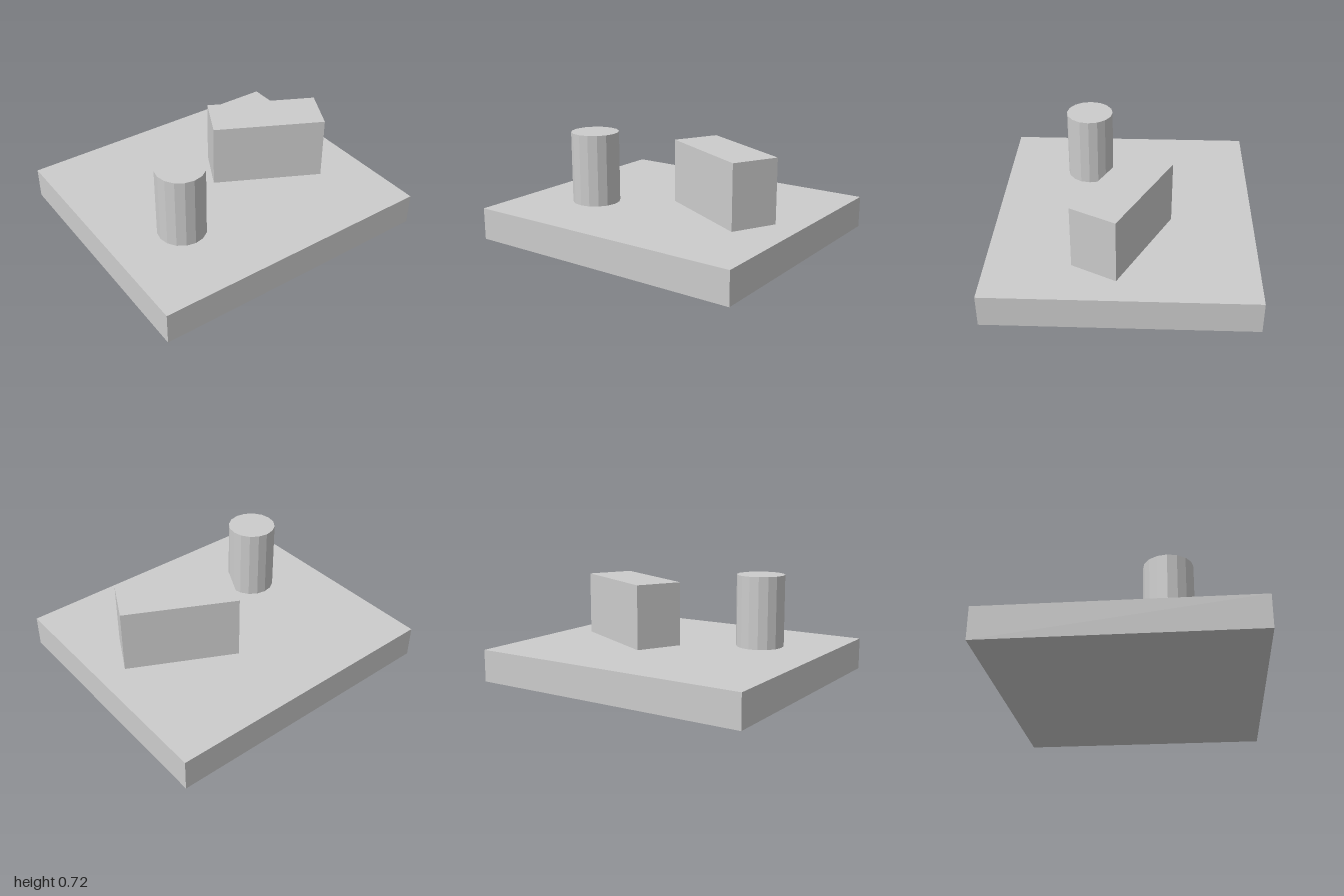
import * as THREE from 'three';

export function createModel() {
  const model = new THREE.Group();
  const grey = new THREE.MeshStandardMaterial({ color: 0xcccccc, flatShading: true });
  grey.name = 'plain grey';

  const baseTop = 0.222;

  // Adds a solid of the given height, standing at level y
  function addPart(name, geometry, height, x, y, z) {
    const mesh = new THREE.Mesh(geometry, grey);
    mesh.name = name;
    mesh.position.set(x, y + height / 2, z);
    model.add(mesh);
    return mesh;
  }

  // Flat slab
  addPart('basePlate', new THREE.BoxGeometry(2, baseTop, 1.778), baseTop, 0, 0, 0);

  // Round post, 16 flat sides
  addPart('post', new THREE.CylinderGeometry(0.167, 0.167, 0.5, 16), 0.5, -0.5, baseTop, 0.278);

  // Block turned on the slab
  const block = addPart('block', new THREE.BoxGeometry(0.778, 0.445, 0.333), 0.445, 0.389, baseTop, 0);
  block.rotation.y = -THREE.MathUtils.degToRad(27);

  return model;
}
